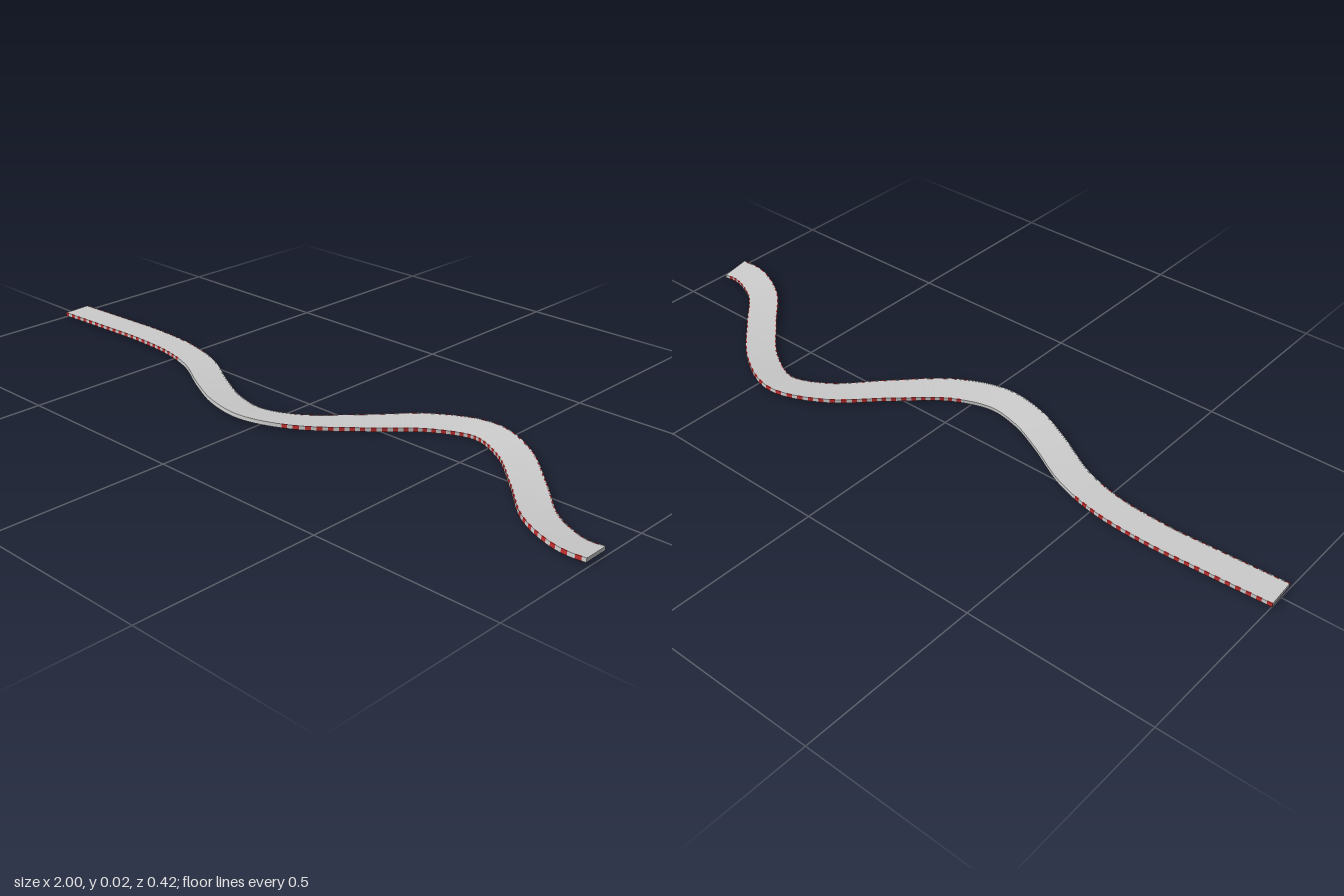
import * as THREE from 'three';

const SEGMENTS = 170;

// Centre line of the road, as x and z
const path = new THREE.CatmullRomCurve3([
  [-1, -0.002], [-0.83, -0.011], [-0.67, -0.017], [-0.52, -0.006], [-0.4, 0.028],
  [-0.27, 0.098], [-0.16, 0.147], [-0.05, 0.163], [0.07, 0.117], [0.2, 0],
  [0.32, -0.117], [0.445, -0.168], [0.57, -0.117], [0.7, 0], [0.81, 0.108],
  [0.9, 0.154], [0.95, 0.164], [0.99, 0.16],
].map(([x, z]) => new THREE.Vector3(x, 0, z)));

// Frames along the road: the surface banks up towards the outside of each bend
const frames = [];
for (let i = 0; i <= SEGMENTS; i++) {
  const p = path.getPointAt(i / SEGMENTS);
  const t = path.getTangentAt(i / SEGMENTS);
  const bank = 0.1 * THREE.MathUtils.clamp(p.z / 0.16, -1, 1);
  const across = new THREE.Vector3(-t.z, 0, t.x);
  const side = across.clone().multiplyScalar(Math.cos(bank));
  side.y = Math.sin(bank);
  const up = across.multiplyScalar(-Math.sin(bank));
  up.y = Math.cos(bank);
  p.y = 0.0095;
  frames.push({ p, side, up });
}

// Sweeps a rectangle (side range, height range) along the chosen segments
function sweep(name, color, [s0, s1], [u0, u1], uses = () => true) {
  const corners = [[s0, u0], [s1, u0], [s1, u1], [s0, u1]];
  const ring = ({ p, side, up }) => corners.map(([s, u]) =>
    p.clone().addScaledVector(side, s).addScaledVector(up, u));
  const pos = [];
  const quad = (a, b, c, d) => [a, b, c, a, c, d].forEach((v) => pos.push(v.x, v.y, v.z));
  for (let i = 0; i < SEGMENTS; i++) {
    if (!uses(i)) continue;
    const a = ring(frames[i]);
    const b = ring(frames[i + 1]);
    for (let k = 0; k < 4; k++) {
      const n = (k + 1) % 4;
      quad(a[k], b[k], b[n], a[n]);
    }
    if (i === 0 || !uses(i - 1)) quad(...a);
    if (i === SEGMENTS - 1 || !uses(i + 1)) quad(b[3], b[2], b[1], b[0]);
  }
  const geometry = new THREE.BufferGeometry();
  geometry.setAttribute('position', new THREE.Float32BufferAttribute(pos, 3));
  geometry.computeVertexNormals();
  const mesh = new THREE.Mesh(geometry, new THREE.MeshStandardMaterial({ color }));
  mesh.name = name;
  return mesh;
}

export function createModel() {
  const model = new THREE.Group();
  model.name = 'windingRoad';

  // Road slab
  model.add(sweep('roadSlab', 0xcccccc, [-0.0395, 0.0395], [-0.005, 0.005]));

  // Kerbs with red dashes, plain on the stretch through the first bend
  const isRed = (i) => {
    const x = frames[i].p.x;
    return i % 2 === 0 && (x < -0.45 || x > 0.03);
  };
  for (const [name, range] of [['rightKerb', [0.0395, 0.0425]], ['leftKerb', [-0.0425, -0.0395]]]) {
    const height = [-0.005, 0.0055];
    model.add(sweep(name, 0xcccccc, range, height, (i) => !isRed(i)));
    model.add(sweep(name + 'Dashes', 0xc03030, range, height, isRed));
  }
  return model;
}
